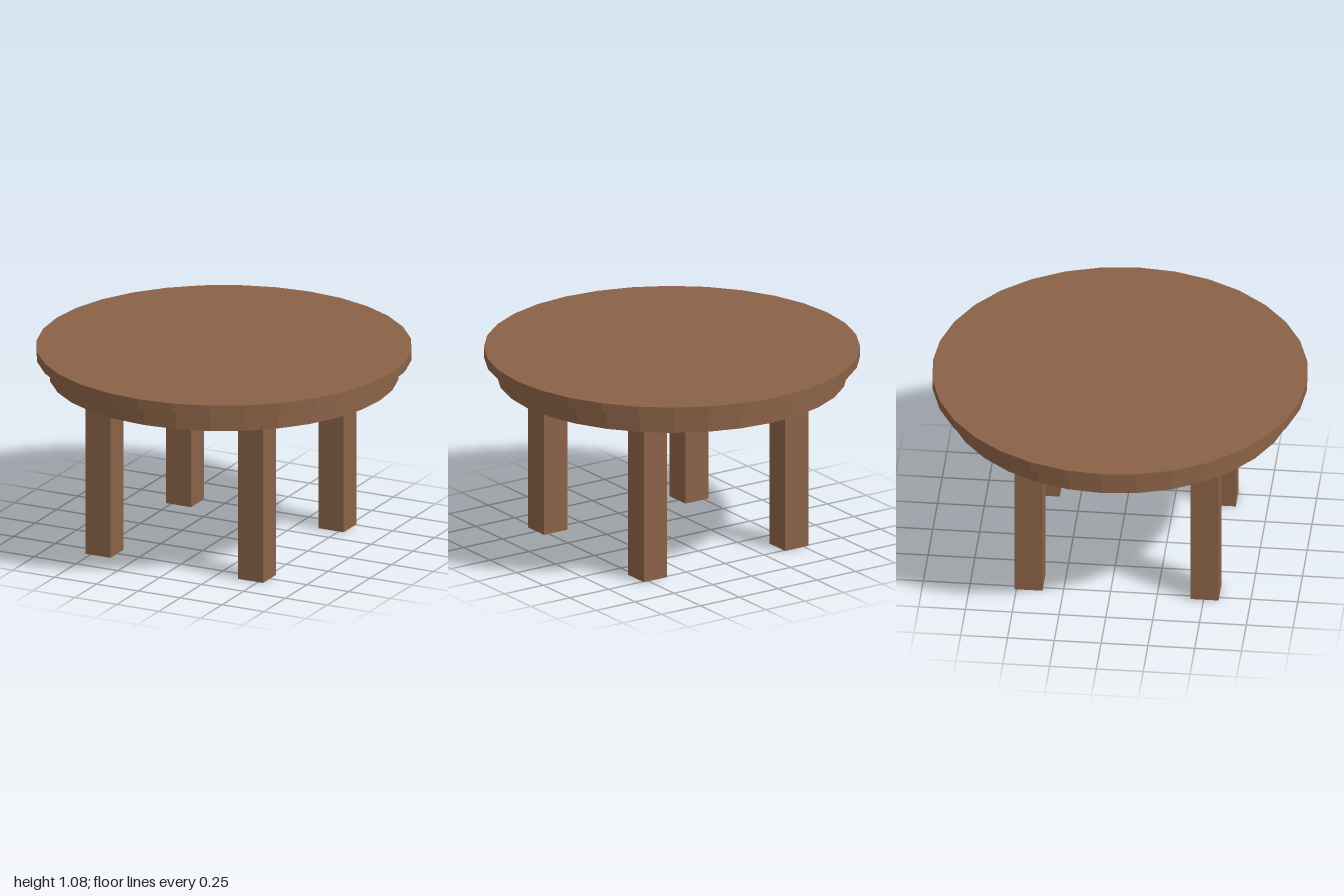
import * as THREE from 'three';

const SIDES = 32;

export function createModel() {
  const table = new THREE.Group();
  table.name = 'roundTable';
  const wood = new THREE.MeshStandardMaterial({ color: 0x8b6246, flatShading: true });

  const add = (name, geometry, x, y, z) => {
    const mesh = new THREE.Mesh(geometry, wood);
    mesh.name = name;
    mesh.position.set(x, y, z);
    table.add(mesh);
  };
  const disc = (name, radius, bottom, top) =>
    add(name, new THREE.CylinderGeometry(radius, radius, top - bottom, SIDES), 0, (bottom + top) / 2, 0);

  // Table top and the narrower apron beneath it
  disc('tableTop', 1, 1.022, 1.076);
  disc('apron', 0.93, 0.91, 1.022);

  // Four square legs, set slightly towards the front
  const legHeight = 0.91;
  const leg = new THREE.BoxGeometry(0.15, legHeight, 0.15);
  for (const [side, x] of [['Left', 0.455], ['Right', -0.455]]) {
    add('front' + side + 'Leg', leg, x, legHeight / 2, 0.505);
    add('back' + side + 'Leg', leg, x, legHeight / 2, -0.435);
  }
  return table;
}
